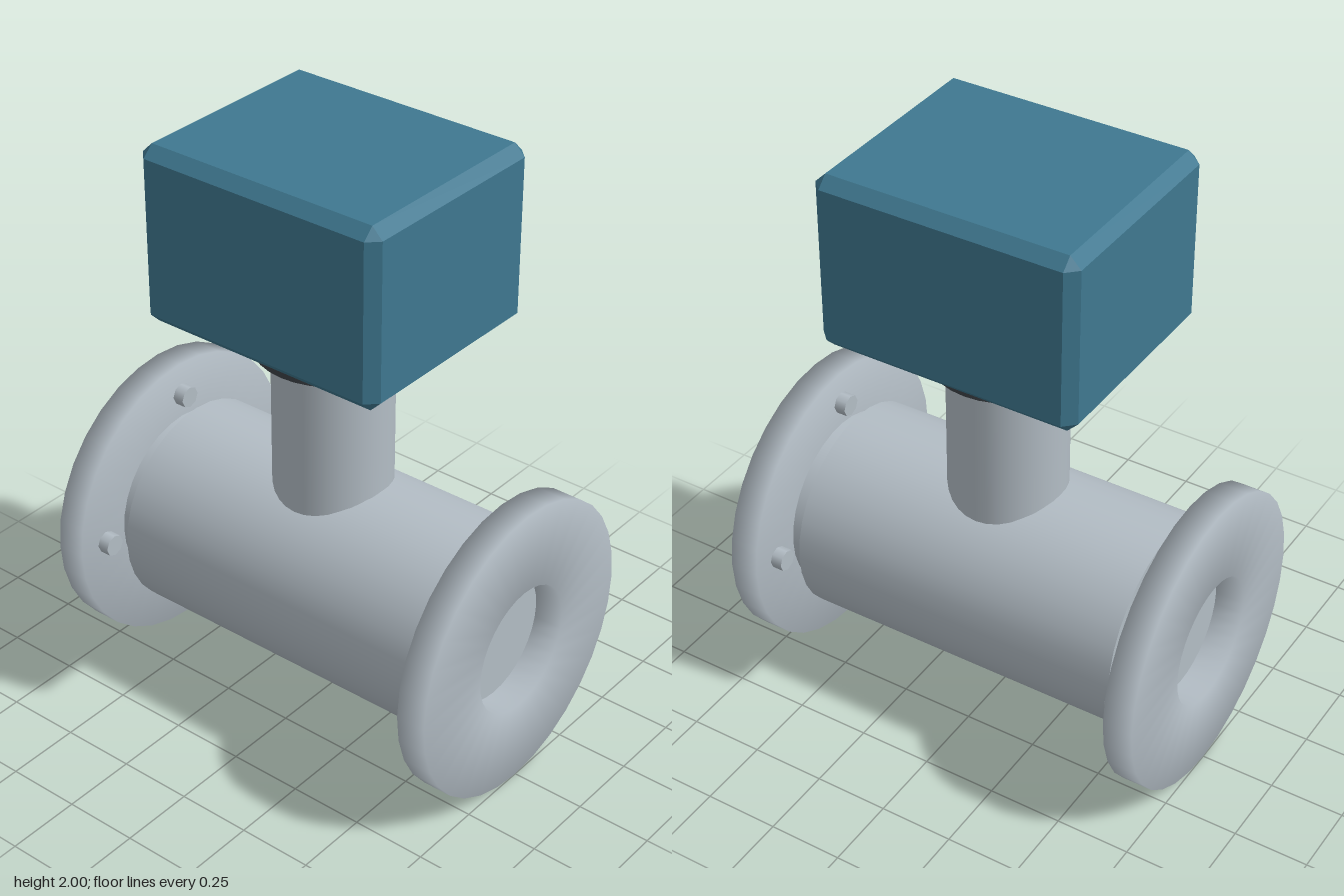
import * as THREE from 'three';
import { ConvexGeometry } from 'three/addons/geometries/ConvexGeometry.js';

const steel = new THREE.MeshStandardMaterial({ color: 0xb3bdc5 });
const dark = new THREE.MeshStandardMaterial({ color: 0x3c4146 });
const blue = new THREE.MeshStandardMaterial({ color: 0x3f7890 });
const AXIS = 0.5; // height of the pipe axis

function add(parent, name, geometry, material) {
  const mesh = new THREE.Mesh(geometry, material);
  mesh.name = name;
  parent.add(mesh);
  return mesh;
}

// Cylinder lying along x from x0 to x1
function rod(radius, x0, x1, sides) {
  return new THREE.CylinderGeometry(radius, radius, x1 - x0, sides)
    .rotateZ(-Math.PI / 2)
    .translate((x0 + x1) / 2, 0, 0);
}

// Box with every edge and corner cut flat
function chamferedBox(w, h, d, c) {
  const points = [];
  for (const sx of [-1, 1]) for (const sy of [-1, 1]) for (const sz of [-1, 1]) {
    for (let full = 0; full < 3; full++) {
      const p = [w / 2, h / 2, d / 2].map((v, i) => (i === full ? v : v - c));
      points.push(new THREE.Vector3(sx * p[0], sy * p[1], sz * p[2]));
    }
  }
  return new ConvexGeometry(points);
}

// Flange ring with softly shaded edges, and its four bolts
function createFlange() {
  const end = new THREE.Group();
  const profile = [[0.217, 0.65], [0.5, 0.65], [0.5, 0.75], [0.217, 0.75], [0.217, 0.65]]
    .map(([r, y]) => new THREE.Vector2(r, y));
  add(end, 'flange', new THREE.LatheGeometry(profile, 32).rotateZ(-Math.PI / 2), steel);
  for (let i = 0; i < 4; i++) {
    const a = i * Math.PI / 2;
    const bolt = add(end, 'flangeBolt', rod(0.037, 0.61, 0.7, 8), steel);
    bolt.position.set(0, 0.387 * Math.cos(a), 0.387 * Math.sin(a));
  }
  return end;
}

export function createModel() {
  const model = new THREE.Group();
  model.name = 'flowMeter';

  // Horizontal pipe
  const pipe = new THREE.Group();
  pipe.name = 'pipe';
  pipe.position.y = AXIS;
  model.add(pipe);
  add(pipe, 'innerPipe', rod(0.3, -0.652, 0.652, 32), steel);
  add(pipe, 'body', rod(0.355, -0.585, 0.585, 32), steel);
  for (const left of [true, false]) {
    const end = createFlange();
    end.name = left ? 'leftFlange' : 'rightFlange';
    end.rotation.y = left ? 0 : Math.PI;
    pipe.add(end);
  }

  // Neck, collar and housing
  add(model, 'neck', new THREE.CylinderGeometry(0.195, 0.195, 0.7, 32), steel).position.y = 1.02;
  add(model, 'collar', new THREE.CylinderGeometry(0.252, 0.252, 0.1, 32), dark).position.y = 1.365;
  add(model, 'housing', chamferedBox(0.895, 0.597, 0.747, 0.037), blue).position.y = 1.7015;

  return model;
}
